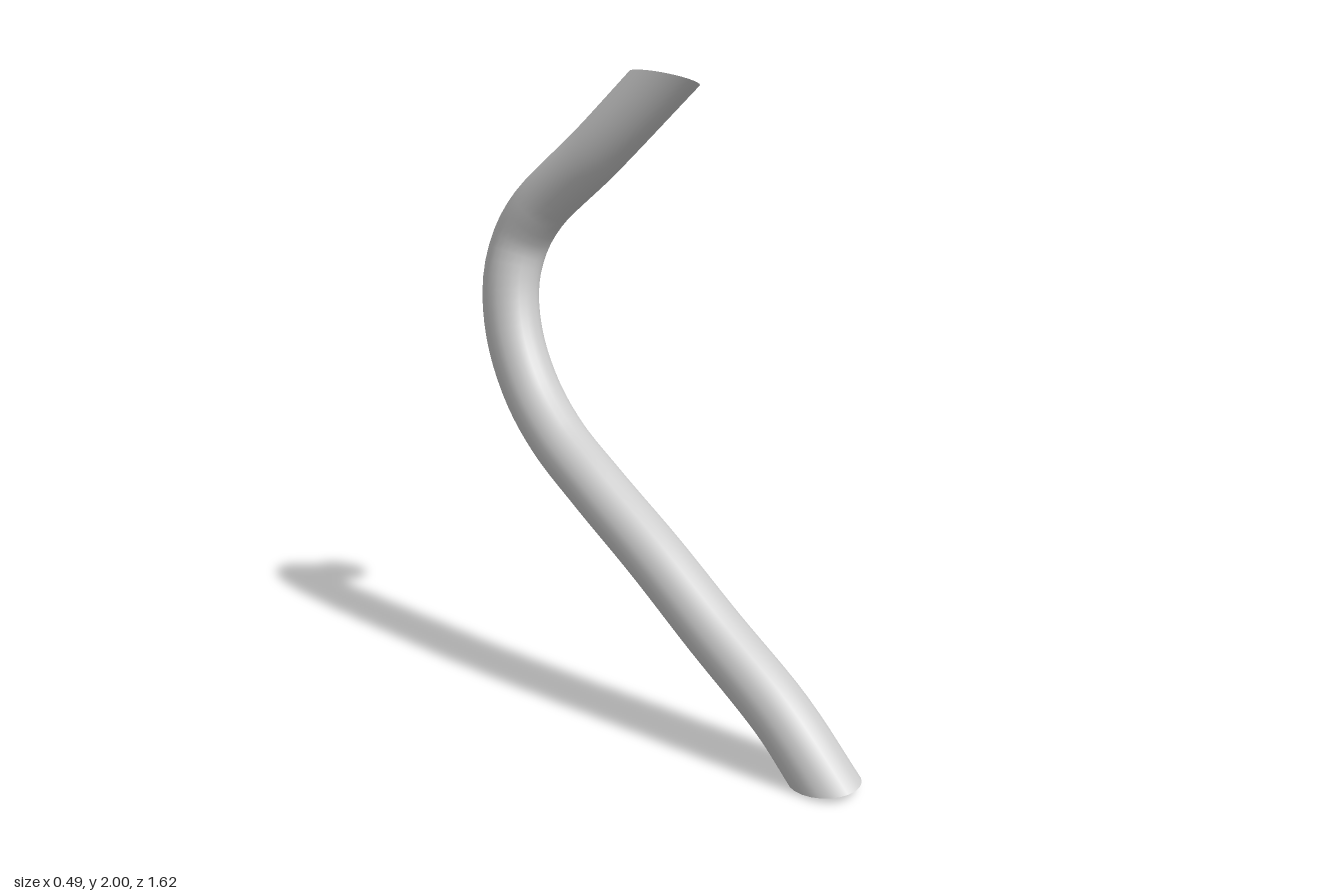
import * as THREE from 'three';

const SEGMENTS = 64, SIDES = 24;

// Centre line, from the lower front end to the upper end
const PATH = [
  [0.005, 0.015, 0.70], [-0.02, 0.165, 0.55], [-0.062, 0.36, 0.28], [-0.10, 0.535, 0.05],
  [-0.133, 0.70, -0.20], [-0.149, 0.83, -0.40], [-0.155, 0.965, -0.54], [-0.15, 1.135, -0.645],
  [-0.127, 1.30, -0.695], [-0.09, 1.43, -0.693], [-0.058, 1.545, -0.625],
  [0.03, 1.74, -0.42], [0.145, 1.97, -0.215],
].map((p) => new THREE.Vector3(...p));

// Distance along direction dir from point p to a cutting plane
const toPlane = (p, dir, normal, origin) =>
  normal.dot(origin.clone().sub(p)) / normal.dot(dir);

// Fan that closes one end of the tube
function capGeometry(ring, flip) {
  const centre = new THREE.Vector3();
  ring.forEach((p) => centre.addScaledVector(p, 1 / ring.length));
  const pos = [];
  ring.forEach((p, j) => {
    const q = ring[(j + 1) % ring.length];
    for (const v of flip ? [centre, q, p] : [centre, p, q]) pos.push(v.x, v.y, v.z);
  });
  const g = new THREE.BufferGeometry();
  g.setAttribute('position', new THREE.Float32BufferAttribute(pos, 3));
  g.computeVertexNormals();
  return g;
}

export function createModel() {
  const group = new THREE.Group();
  group.name = 'bentTube';
  const material = new THREE.MeshStandardMaterial({ color: 0xcccccc, side: THREE.DoubleSide });

  const curve = new THREE.CatmullRomCurve3(PATH, false, 'centripetal');
  const length = curve.getLength();
  const tube = new THREE.TubeGeometry(curve, SEGMENTS, 0.095, SIDES, false);
  const pos = tube.attributes.position, nor = tube.attributes.normal;

  // Oblique cuts at the two ends
  const ends = [
    { t: 0, normal: new THREE.Vector3(-0.1, 1, -0.08), reach: 0.24 },
    { t: 1, normal: new THREE.Vector3(0.3, 1, 0), reach: 0.32 },
  ].map((e) => ({ ...e, origin: curve.getPointAt(e.t), dir: curve.getTangentAt(e.t) }));

  const rings = [];
  for (let i = 0; i <= SEGMENTS; i++) {
    const t = i / SEGMENTS, centre = curve.getPointAt(t);
    // The section is slightly flattened below and thicker at the bend
    let k = Math.exp(-(((centre.y - 1.3) / 0.35) ** 2));
    if (centre.y > 1.3) k = Math.max(k, 0.5);
    const ring = [];
    for (let j = 0; j <= SIDES; j++) {
      const n = i * (SIDES + 1) + j;
      const offset = new THREE.Vector3().fromBufferAttribute(nor, n);
      offset.multiply(new THREE.Vector3(0.097 - 0.007 * k, 0.088 + 0.014 * k, 0.088 + 0.014 * k));
      const p = centre.clone().add(offset);
      // Slide points along the tube so the end rings lie in the cuts
      for (const e of ends) {
        const fade = Math.max(0, 1 - (Math.abs(t - e.t) * length) / e.reach);
        if (fade > 0) {
          const d = toPlane(e.origin.clone().add(offset), e.dir, e.normal, e.origin);
          p.addScaledVector(e.dir, d * fade);
        }
      }
      pos.setXYZ(n, p.x, p.y, p.z);
      if (j < SIDES) ring.push(p);
    }
    rings.push(ring);
  }

  const add = (geometry, name) => {
    const mesh = new THREE.Mesh(geometry, material);
    mesh.name = name;
    group.add(mesh);
  };
  add(tube, 'tubeWall');
  add(capGeometry(rings[0], false), 'lowerEnd');
  add(capGeometry(rings[SEGMENTS], true), 'upperEnd');
  return group;
}
